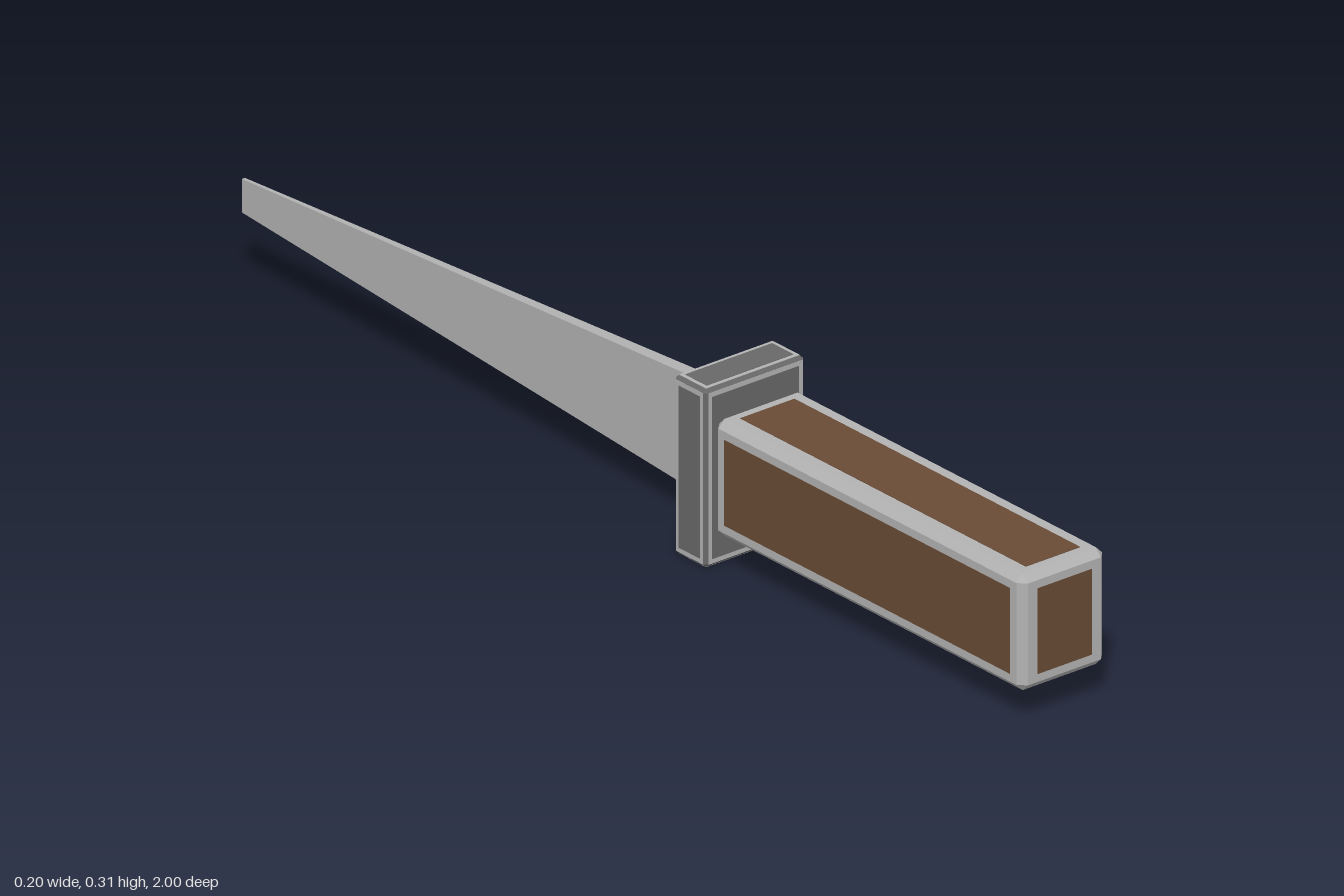
import * as THREE from 'three';
import { ConvexGeometry } from 'three/addons/geometries/ConvexGeometry.js';

const material = (name, color) => {
  const m = new THREE.MeshStandardMaterial({ color });
  m.name = name;
  return m;
};

// Box with all edges and corners cut by b
function chamferedBox(hx, hy, hz, b) {
  const pts = [];
  for (const x of [-1, 1]) for (const y of [-1, 1]) for (const z of [-1, 1]) {
    pts.push(new THREE.Vector3(x * hx, y * (hy - b), z * (hz - b)));
    pts.push(new THREE.Vector3(x * (hx - b), y * hy, z * (hz - b)));
    pts.push(new THREE.Vector3(x * (hx - b), y * (hy - b), z * hz));
  }
  return new ConvexGeometry(pts);
}

// One thin panel on each of the six faces, inset from the edges
function addPanels(group, name, half, inset, raise, mat) {
  for (let axis = 0; axis < 3; axis++) for (const side of [-1, 1]) {
    const size = half.map((h, i) => (i === axis ? 0.002 : 2 * (h - inset[i])));
    const panel = new THREE.Mesh(new THREE.BoxGeometry(...size), mat);
    panel.position.setComponent(axis, side * (half[axis] + raise - 0.001));
    panel.name = name;
    group.add(panel);
  }
}

export function createModel() {
  const brown = material('brown wood', 0x694b36);
  const light = material('light steel', 0xb2b2b2);
  const dark = material('dark steel', 0x686868);
  const model = new THREE.Group();
  model.name = 'dagger';

  const part = (name, half, bevel, mat, y, z) => {
    const group = new THREE.Group();
    group.name = name;
    const body = new THREE.Mesh(chamferedBox(...half, bevel), mat);
    body.name = name + 'Body';
    group.add(body);
    group.position.set(0, y, z);
    model.add(group);
    return group;
  };

  // Handle: steel frame with wooden panels
  const handleHalf = [0.087, 0.101, 0.376];
  const handle = part('handle', handleHalf, 0.013, light, 0.157, 0.624);
  addPanels(handle, 'woodPanel', handleHalf, [0.032, 0.027, 0.028], 0.0008, brown);

  // Guard: dark block with a light border line on every face
  const guardHalf = [0.101, 0.154, 0.039];
  const guard = part('guard', guardHalf, 0.006, dark, 0.155, 0.208);
  addPanels(guard, 'guardBorder', guardHalf, [0.006, 0.006, 0.006], 0.0005, light);
  addPanels(guard, 'guardPanel', guardHalf, [0.013, 0.014, 0.013], 0.0012, dark);

  // Blade: bar tapering in height and thickness towards the blunt tip
  const geo = new THREE.BoxGeometry(1, 1, 1);
  const p = geo.attributes.position;
  for (let i = 0; i < p.count; i++) {
    const tip = p.getZ(i) < 0;
    p.setXYZ(i,
      p.getX(i) * (tip ? 0.006 : 0.025),
      0.158 + p.getY(i) * (tip ? 0.058 : 0.204),
      tip ? -1 : 0.18);
  }
  geo.computeVertexNormals();
  const blade = new THREE.Mesh(geo, light);
  blade.name = 'blade';
  model.add(blade);

  return model;
}
